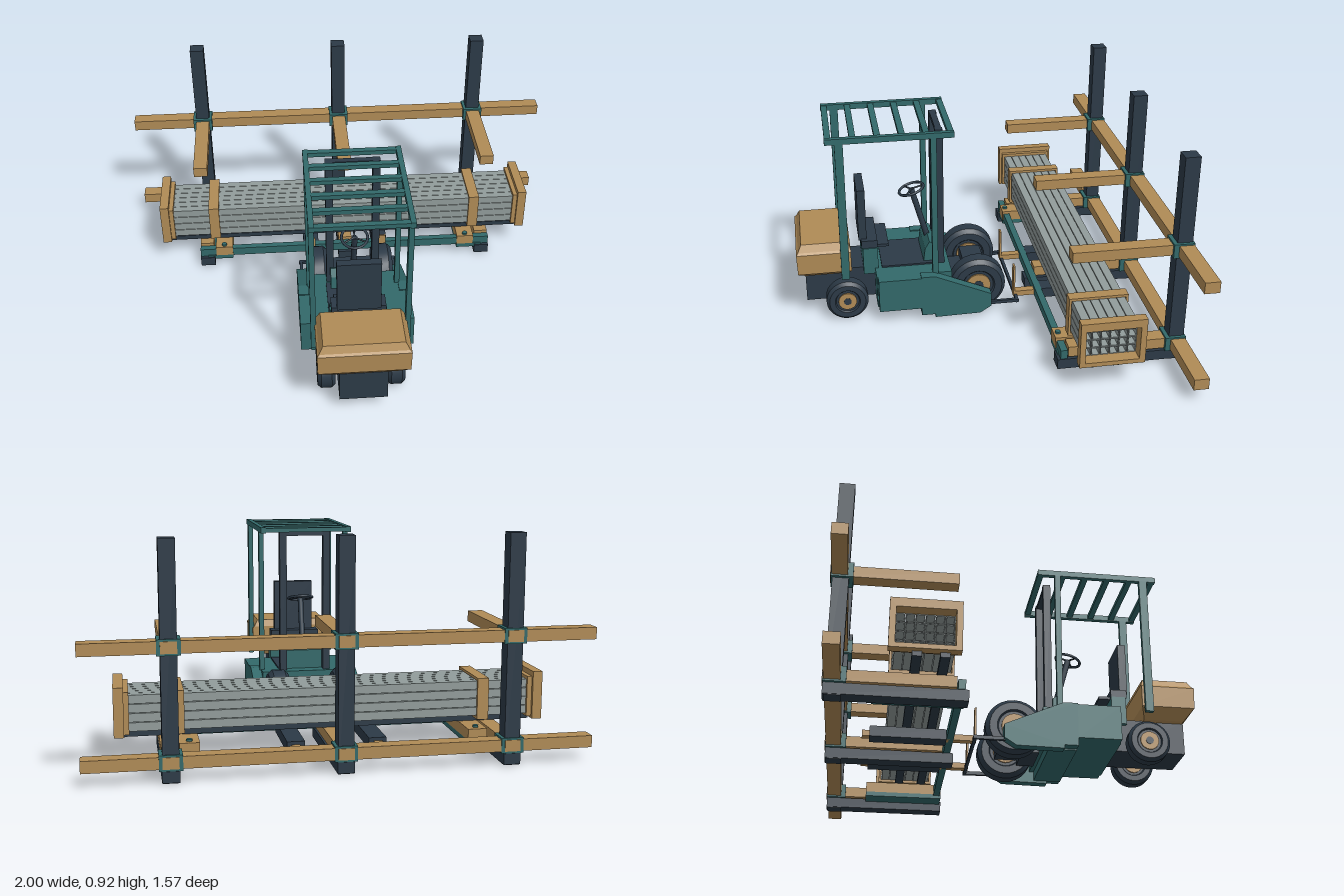
import * as THREE from 'three';
import { toCreasedNormals } from 'three/addons/utils/BufferGeometryUtils.js';

const mat = (name, color) => Object.assign(new THREE.MeshStandardMaterial({ color }), { name });
const teal = mat('teal paint', 0x32696a);
const navy = mat('dark navy', 0x2c3a47);
const ochre = mat('ochre', 0xb08b56);
const grey = mat('tube grey', 0x929c9b);

export function createModel() {
  const model = new THREE.Group();
  const truck = new THREE.Group(), rack = new THREE.Group(), bundle = new THREE.Group();
  truck.name = 'forklift'; rack.name = 'storageRack'; bundle.name = 'tubeBundle';
  model.add(truck, rack, bundle);

  const add = (parent, name, geo, material) => {
    const m = new THREE.Mesh(geo, material);
    m.name = name;
    parent.add(m);
    return m;
  };
  // box given by its limits on each axis
  const box = (parent, name, material, x0, x1, y0, y1, z0, z1) => {
    const m = add(parent, name, new THREE.BoxGeometry(x1 - x0, y1 - y0, z1 - z0), material);
    m.position.set((x0 + x1) / 2, (y0 + y1) / 2, (z0 + z1) / 2);
    return m;
  };
  // box centred on x
  const bar = (parent, name, material, x, w, y0, y1, z0, z1) =>
    box(parent, name, material, x - w / 2, x + w / 2, y0, y1, z0, z1);
  // round rod between two points
  const rod = (parent, name, material, a, b, r) => {
    const p = new THREE.Vector3(...a), q = new THREE.Vector3(...b);
    const m = add(parent, name, new THREE.CylinderGeometry(r, r, p.distanceTo(q), 10), material);
    m.position.copy(p).add(q).multiplyScalar(0.5);
    m.quaternion.setFromUnitVectors(new THREE.Vector3(0, 1, 0), q.sub(p).normalize());
    return m;
  };
  // side profile of [z, y] points extruded across x
  const slab = (pts, hole, x0, x1) => {
    const shape = new THREE.Shape(pts.map(p => new THREE.Vector2(...p)));
    if (hole) shape.holes.push(new THREE.Path(hole.map(p => new THREE.Vector2(...p))));
    const g = new THREE.ExtrudeGeometry(shape, { depth: x1 - x0, bevelEnabled: false });
    return g.rotateY(-Math.PI / 2).translate(x1, 0, 0);
  };
  const rect = (z0, z1, y0, y1) => [[z0, y0], [z1, y0], [z1, y1], [z0, y1]];
  // stacked rectangular sections: [y, halfWidth, z0, z1]
  const loft = levels => {
    const pos = [], idx = [], n = levels.length;
    levels.forEach(([y, w, z0, z1]) => pos.push(-w, y, z1, w, y, z1, w, y, z0, -w, y, z0));
    for (let l = 0; l < n - 1; l++) for (let i = 0; i < 4; i++) {
      const a = l * 4 + i, b = l * 4 + (i + 1) % 4;
      idx.push(a, b, b + 4, a, b + 4, a + 4);
    }
    const t = (n - 1) * 4;
    idx.push(0, 2, 1, 0, 3, 2, t, t + 1, t + 2, t, t + 2, t + 3);
    const g = new THREE.BufferGeometry();
    g.setAttribute('position', new THREE.Float32BufferAttribute(pos, 3));
    g.setIndex(idx);
    const flat = g.toNonIndexed();
    flat.computeVertexNormals();
    return flat;
  };

  // ---- wheels ----
  const wheel = (name, x, y, z, r, w, hubR) => {
    const g = new THREE.Group();
    g.name = name;
    const h = w / 2;
    const profile = [[0, -h * 0.8], [r * 0.55, -h * 0.8], [r * 0.6, -h], [r * 0.86, -h], [r, -h * 0.6],
      [r, h * 0.6], [r * 0.86, h], [r * 0.6, h], [r * 0.55, h * 0.8], [0, h * 0.8]];
    const tyre = new THREE.LatheGeometry(profile.map(p => new THREE.Vector2(...p)), 28);
    add(g, 'tyre', toCreasedNormals(tyre, 0.5).rotateZ(Math.PI / 2), navy);
    add(g, 'hub', new THREE.CylinderGeometry(hubR, hubR, w * 0.96, 20).rotateZ(Math.PI / 2), ochre);
    add(g, 'hubCap', new THREE.CylinderGeometry(hubR * 0.42, hubR * 0.42, w, 12).rotateZ(Math.PI / 2), navy);
    g.position.set(x, y, z);
    truck.add(g);
  };
  for (const s of [-1, 1]) {
    wheel('frontWheel', s * 0.147, 0.125, 0, 0.123, 0.09, 0.055);
    wheel('rearWheel', s * 0.147, 0.094, 0.58, 0.092, 0.075, 0.04);
  }
  box(truck, 'frontAxle', navy, -0.1, 0.1, 0.08, 0.17, -0.05, 0.045);
  box(truck, 'axleLink', navy, -0.085, 0.085, 0.05, 0.13, 0.045, 0.12);

  // ---- truck body ----
  box(truck, 'rearChassis', navy, -0.1, 0.1, 0.07, 0.215, 0.44, 0.755);
  box(truck, 'mainBody', teal, -0.2, 0.2, 0.065, 0.215, 0.12, 0.45);
  box(truck, 'bellyPan', teal, -0.2, 0.2, 0.025, 0.065, 0.14, 0.26);
  box(truck, 'floor', navy, -0.12, 0.12, 0.213, 0.222, 0.19, 0.42);
  const fender = [[0.26, 0.03], [0.26, 0.22], [0.2, 0.22], [-0.05, 0.11], [-0.05, 0.05], [0, 0.018], [0.2, 0.015], [0.2, 0.03]];
  for (const s of [-1, 1]) {
    add(truck, 'frontFender', slab(fender, null, s > 0 ? 0.2 : -0.245, s > 0 ? 0.245 : -0.2), teal);
    bar(truck, 'sidePanel', teal, s * 0.22, 0.05, 0.065, 0.215, 0.26, 0.445);
  }
  add(truck, 'counterweight', loft([[0.21, 0.13, 0.575, 0.75], [0.25, 0.188, 0.555, 0.785],
    [0.343, 0.19, 0.555, 0.788], [0.352, 0.182, 0.555, 0.78], [0.383, 0.165, 0.565, 0.765]]), ochre);

  // ---- seat ----
  box(truck, 'seatPedestal', teal, -0.12, 0.12, 0.19, 0.315, 0.435, 0.5);
  box(truck, 'seatCushion', navy, -0.115, 0.115, 0.315, 0.35, 0.435, 0.505);
  box(truck, 'seatPan', navy, -0.1, 0.1, 0.31, 0.322, 0.385, 0.44);
  box(truck, 'seatBack', navy, -0.092, 0.092, 0.345, 0.583, 0.48, 0.515);

  // ---- steering ----
  add(truck, 'dashboard', slab([[0.18, 0.2], [0.235, 0.2], [0.225, 0.28], [0.205, 0.315], [0.18, 0.3]], null, -0.1, 0.1), teal);
  rod(truck, 'steeringColumn', navy, [0, 0.3, 0.205], [0, 0.533, 0.27], 0.013);
  const steering = new THREE.Group();
  steering.name = 'steeringWheel';
  add(steering, 'rim', new THREE.TorusGeometry(0.056, 0.006, 8, 24), navy);
  for (let i = 0; i < 3; i++) {
    const a = i * Math.PI * 2 / 3 + Math.PI / 2;
    rod(steering, 'spoke', navy, [0, 0, 0], [0.056 * Math.cos(a), 0.056 * Math.sin(a), 0], 0.004);
  }
  steering.position.set(0, 0.533, 0.27);
  steering.rotation.x = -Math.PI / 2 + 0.29;
  truck.add(steering);

  // ---- overhead guard and mast ----
  for (const s of [-1, 1]) {
    bar(truck, 'frontGuardPost', teal, s * 0.195, 0.022, 0.2, 0.855, 0.18, 0.205);
    bar(truck, 'rearGuardPost', teal, s * 0.195, 0.022, 0.22, 0.855, 0.565, 0.6);
    bar(truck, 'roofRail', teal, s * 0.195, 0.022, 0.852, 0.877, 0.105, 0.64);
    bar(truck, 'mastRail', navy, s * 0.1, 0.032, 0.1, 0.853, 0.142, 0.175);
  }
  for (let i = 0; i < 6; i++) {
    const z = 0.118 + i * 0.1015;
    box(truck, 'roofSlat', teal, -0.19, 0.19, 0.855, 0.874, z - 0.013, z + 0.013);
  }
  box(truck, 'mastCrossbar', navy, -0.1, 0.1, 0.835, 0.853, 0.145, 0.172);

  // ---- fork carriage and forks ----
  box(truck, 'carriageBar', navy, -0.23, 0.23, 0.045, 0.06, -0.176, -0.163);
  for (const s of [-1, 1]) {
    bar(truck, 'carriageArm', navy, s * 0.22, 0.014, 0.045, 0.06, -0.17, -0.03);
    bar(truck, 'forkShank', ochre, s * 0.167, 0.034, 0.05, 0.2, -0.168, -0.16);
    bar(truck, 'forkTine', ochre, s * 0.167, 0.034, 0.05, 0.075, -0.63, -0.16);
    bar(rack, 'forkPocket', navy, s * 0.166, 0.072, 0.043, 0.088, -0.6, -0.285);
  }

  // ---- rack ----
  for (const x of [-0.667, 0, 0.667]) {
    bar(rack, 'post', navy, x, 0.063, 0, 0.918, -0.775, -0.712);
    bar(rack, 'foot', navy, x, 0.068, 0.003, 0.048, -0.78, -0.243);
    for (const y of [0.08, 0.518]) {
      bar(rack, 'arm', ochre, x, 0.063, y - 0.023, y + 0.023, -0.784, -0.287);
      bar(rack, 'collar', teal, x, 0.09, y - 0.031, y + 0.031, -0.781, -0.695);
    }
  }
  for (const y of [0.08, 0.518]) box(rack, 'longBeam', ochre, -1, 1, y - 0.024, y + 0.024, -0.778, -0.716);
  box(rack, 'frontRail', teal, -0.7, 0.7, 0.05, 0.09, -0.284, -0.255);
  for (const s of [-1, 1]) {
    bar(rack, 'skidPlate', teal, s * 0.605, 0.12, 0.036, 0.056, -0.6, -0.25);
    bar(rack, 'skid', ochre, s * 0.585, 0.08, 0.056, 0.103, -0.6, -0.25);
    for (const z of [-0.57, -0.268]) {
      const bolt = add(rack, 'bolt', new THREE.CylinderGeometry(0.012, 0.012, 0.012, 8), teal);
      bolt.position.set(s * 0.585, 0.106, z);
    }
  }
  for (const z of [-0.345, -0.448]) box(rack, 'runner', navy, -0.85, 0.85, 0.103, 0.125, z - 0.018, z + 0.018);

  // ---- hollow square tubes, six wide and four high ----
  const pitch = 0.037, o = 0.0172, h = 0.0145;
  const tube = slab(rect(-o, o, -o, o), rect(-h, h, -h, h), -0.822, 0.822);
  for (let i = 0; i < 6; i++) for (let j = 0; j < 4; j++)
    add(bundle, 'tube', tube, grey).position.set(0, 0.158 + j * pitch, -0.419 + (i - 2.5) * pitch);

  // end frames with an inner lip, and straps round the bundle
  const ring = (name, s, xa, xb, z0, z1, y0, y1, inner) => add(bundle, name,
    slab(rect(z0, z1, y0, y1), inner, Math.min(s * xa, s * xb), Math.max(s * xa, s * xb)), ochre);
  const opening = rect(-0.529, -0.309, 0.141, 0.286);
  const around = rect(-0.533, -0.305, 0.138, 0.289);
  for (const s of [-1, 1]) {
    ring('endFrame', s, 0.835, 0.875, -0.553, -0.286, 0.122, 0.322, opening);
    ring('endFrameLip', s, 0.815, 0.835, -0.54, -0.298, 0.13, 0.3, opening);
    ring('strap', s, 0.6, 0.648, -0.543, -0.295, 0.126, 0.3, around);
  }
  return model;
}
